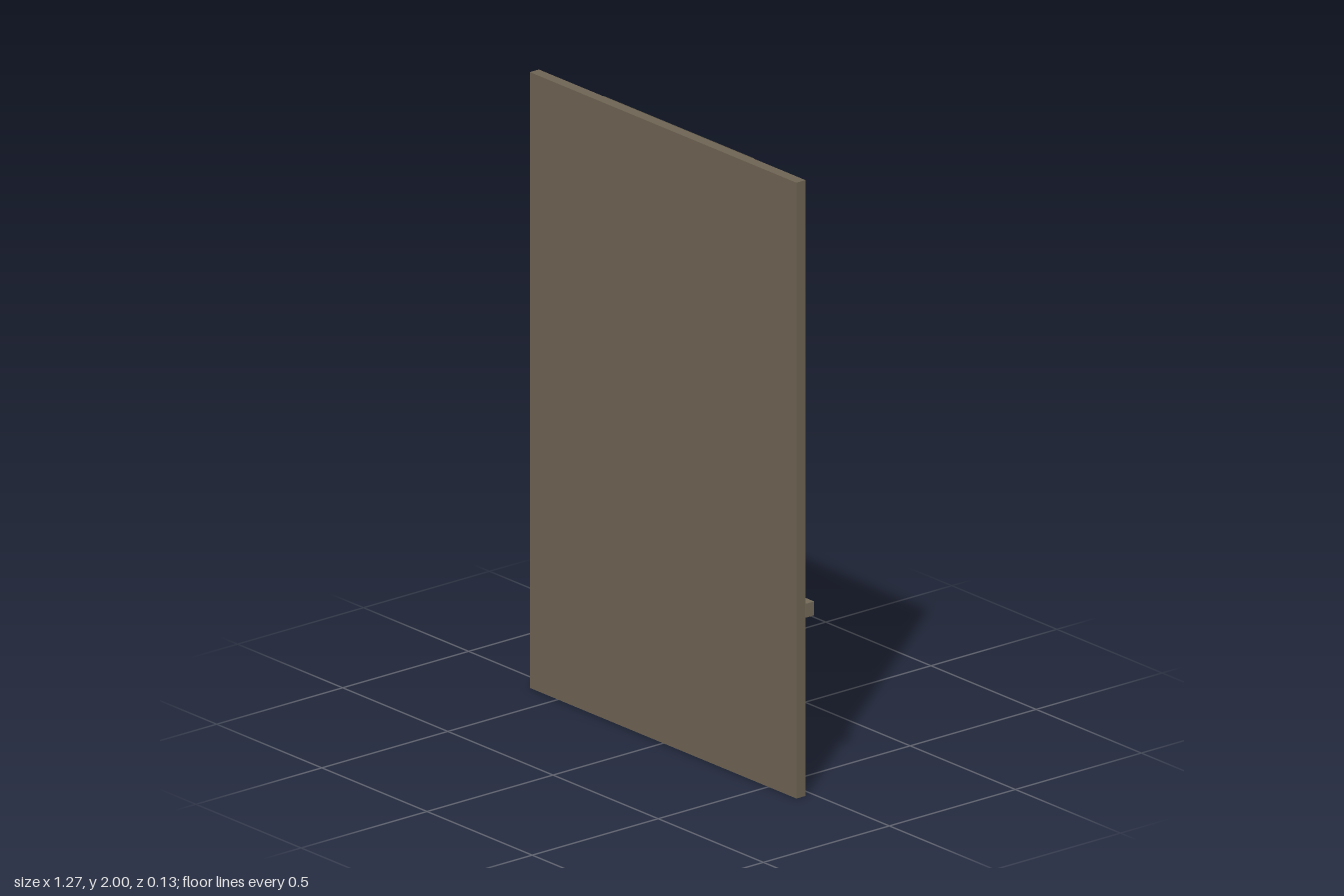
import * as THREE from 'three';

const mat = (color) => new THREE.MeshStandardMaterial({ color });

export function createModel() {
  const model = new THREE.Group();
  const wallMat = mat(0x6f6454), beltMat = mat(0x736a58), stoneMat = mat(0x666369);
  const sashMat = mat(0x3b463f), glassMat = mat(0x1f2932), sootMat = mat(0x4f493e);
  const woodMat = mat(0x54422f), darkWoodMat = mat(0x46372c);

  // Box given by its limits on each axis
  const box = (name, material, [x0, x1], [y0, y1], [z0, z1], parent = model) => {
    const mesh = new THREE.Mesh(new THREE.BoxGeometry(x1 - x0, y1 - y0, z1 - z0), material);
    mesh.position.set((x0 + x1) / 2, (y0 + y1) / 2, (z0 + z1) / 2);
    mesh.name = name;
    parent.add(mesh);
    return mesh;
  };

  // Wall slab with a belt course, split by the window
  const back = 0.027;
  box('wall', wallMat, [-0.634, 0.634], [0, 2], [back, 0.063]);
  box('beltCourseLeft', beltMat, [0.38, 0.637], [0.58, 0.625], [-0.005, back]);
  box('beltCourseRight', beltMat, [-0.637, -0.38], [0.58, 0.625], [-0.005, back]);

  // Thin stains on the wall above the window
  box('upperStain', sootMat, [-0.327, 0.387], [1.6, 2], [0.024, back]);
  box('cornerStain', mat(0x3a3733), [-0.383, -0.19], [1.55, 1.746], [0.021, back]);

  // Stone surround
  box('sill', stoneMat, [-0.415, 0.415], [0.58, 0.625], [-0.063, back]);
  box('lintel', stoneMat, [-0.402, 0.402], [1.59, 1.715], [-0.022, back]);
  for (const [name, x] of [['leftJamb', 0.337], ['rightJamb', -0.337]]) {
    box(name, stoneMat, [x - 0.05, x + 0.05], [0.625, 1.59], [-0.01, back]);
  }

  // Two sashes, each with a frame, a centre bar and a glass pane
  const sash = (name, y0, y1, z) => {
    const group = new THREE.Group();
    group.name = name;
    const w = 0.287, t = 0.024, depth = [z, back];
    box('glass', glassMat, [-w, w], [y0, y1], [0.018, back], group);
    for (const x of [-w, -t / 2, w - t]) box('stile', sashMat, [x, x + t], [y0, y1], depth, group);
    for (const y of [y0, y1 - t]) box('rail', sashMat, [-w, w], [y, y + t], [z - 0.001, back], group);
    model.add(group);
  };
  sash('lowerSash', 0.625, 1.115, 0.002);
  sash('upperSash', 1.105, 1.59, 0.007);

  // Crooked boards nailed across the window
  const board = (name, material, x, y, z, angle) => {
    const mesh = box(name, material, [x - 0.386, x + 0.386], [y - 0.05, y + 0.05], [z - 0.004, z + 0.004]);
    mesh.rotation.z = angle;
  };
  board('upperBoard', woodMat, -0.028, 1.38, -0.019, -0.065);
  board('lowerBoard', darkWoodMat, -0.014, 1.278, -0.028, 0.058);

  return model;
}
